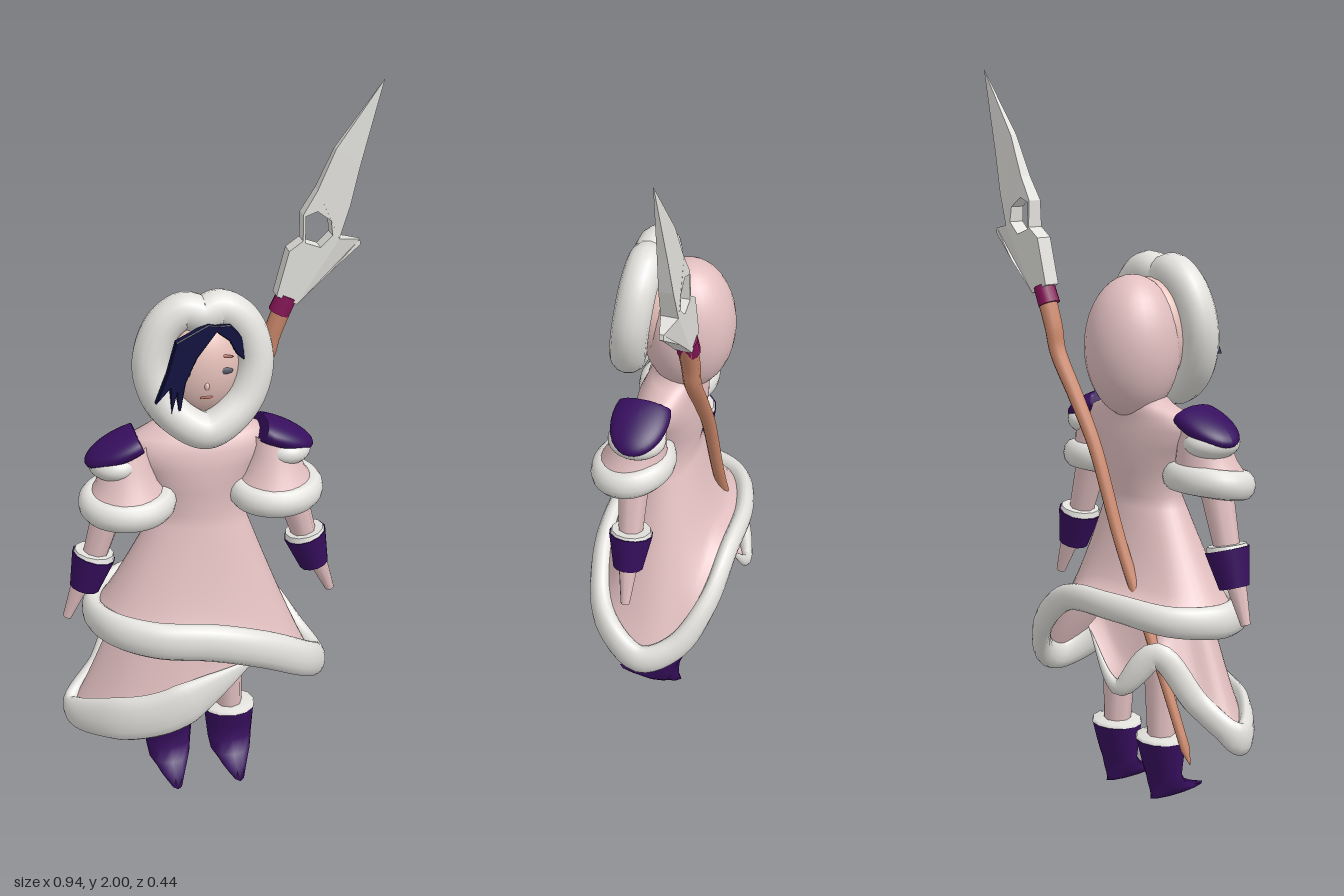
import * as THREE from 'three';

const V = (x, y, z) => new THREE.Vector3(x, y, z);
const C = -0.065; // body axis in x
const TAU = Math.PI * 2;

const mat = (name, color) => {
  const m = new THREE.MeshStandardMaterial({ color, side: THREE.DoubleSide });
  m.name = name;
  return m;
};

// Skin a list of rings (bottom to top, each turning from +x to +z)
function skin(rings, wrap = true, loop = false) {
  const n = rings[0].length, pos = [], idx = [];
  rings.forEach(r => r.forEach(p => pos.push(p.x, p.y, p.z)));
  for (let i = 0; i < rings.length - (loop ? 0 : 1); i++) {
    const i2 = (i + 1) % rings.length;
    for (let j = 0; j < n - (wrap ? 0 : 1); j++) {
      const k = (j + 1) % n;
      idx.push(i * n + j, i2 * n + j, i * n + k, i * n + k, i2 * n + j, i2 * n + k);
    }
  }
  const g = new THREE.BufferGeometry();
  g.setAttribute('position', new THREE.Float32BufferAttribute(pos, 3));
  g.setIndex(idx);
  g.computeVertexNormals();
  return g;
}

// Stack of ellipses, rows are [y, rx, rz, cz, cx]
const loft = (rows, sides) => skin(rows.map(([y, rx, rz, cz = 0, cx = 0]) =>
  Array.from({ length: sides }, (_, j) => V(cx + rx * Math.cos(j / sides * TAU), y, cz + rz * Math.sin(j / sides * TAU)))));

// Elliptic sweep along a curve; size(t) gives [across, along axis]
function sweep(curve, steps, sides, axis, size) {
  const rings = [], loop = !!curve.closed;
  for (let i = 0; i < steps + (loop ? 0 : 1); i++) {
    const t = i / steps, p = curve.getPoint(t), T = curve.getTangent(t);
    const d = T.clone().cross(axis).normalize(), e = d.clone().cross(T), [a, b] = size(t);
    rings.push(Array.from({ length: sides }, (_, j) => p.clone()
      .addScaledVector(d, a * Math.cos(j / sides * TAU)).addScaledVector(e, b * Math.sin(j / sides * TAU))));
  }
  return skin(rings, true, loop);
}

const spline = (pts, closed = false) => new THREE.CatmullRomCurve3(pts.map(p => V(...p)), closed);

export function createModel() {
  const root = new THREE.Group();
  const pink = mat('pink cloth', 0xe2bfc0), white = mat('white fur', 0xe2e1dd), purple = mat('purple leather', 0x370f5e);
  const navy = mat('navy hair', 0x11113f), wood = mat('wood', 0xc98568), wine = mat('wine wrap', 0x851557);
  const steel = mat('pale blade', 0xe0dfdb), face = mat('skin', 0xe6c0b9), lip = mat('lip', 0xb5685a), iris = mat('iris', 0x565c6c);

  const add = (parent, name, geo, m, pos = [0, 0, 0], scale = [1, 1, 1]) => {
    const mesh = new THREE.Mesh(geo, m);
    mesh.name = name;
    mesh.position.set(...pos);
    mesh.scale.set(...scale);
    parent.add(mesh);
    return mesh;
  };
  const ball = (parent, name, m, pos, scale) => add(parent, name, new THREE.SphereGeometry(1, 28, 20), m, pos, scale);
  const limb = (parent, name, m, a, b, ra, rb, sides = 10) => {
    const A = V(...a), D = V(...b).sub(A);
    const mesh = add(parent, name, new THREE.CylinderGeometry(rb, ra, D.length(), sides), m);
    mesh.position.copy(A).addScaledVector(D, 0.5);
    mesh.quaternion.setFromUnitVectors(V(0, 1, 0), D.normalize());
    return mesh;
  };

  // Dress: slanting hem rising to waist, chest, shoulders and neck; the back flares late
  const up = V(0, 1, 0);
  const hem = spline([[0.284, 0.312, 0], [0.225, 0.38, 0.12], [0.09, 0.46, 0.175], [-0.06, 0.51, 0.19], [-0.22, 0.53, 0.175],
    [-0.33, 0.545, 0.11], [-0.372, 0.55, 0], [-0.31, 0.56, -0.12], [-0.15, 0.58, -0.185], [0.03, 0.57, -0.19],
    [0.16, 0.47, -0.168], [0.245, 0.355, -0.1]], true);
  const angle = p => Math.atan2(p.z / 0.2, (p.x - C) / 0.33);
  const onRing = (a, [y, rx, rz, cz = 0]) => V(C + rx * Math.cos(a), y, cz + rz * Math.sin(a));
  const waist = [0.86, 0.122, 0.08, 0.012];
  const flare = (pts, to) => Array.from({ length: 11 }, (_, i) => pts.map(p => {
    const s = i / 10 * to, w = onRing(angle(p), waist);
    const h = s ** 0.87, hz = s ** (p.z < 0 ? 0.87 - 0.42 * Math.min(1, -p.z / 0.15) : 0.75);
    return V(p.x + (w.x - p.x) * h, p.y + (w.y - p.y) * s, p.z + (w.z - p.z) * hz);
  }));
  const hemPts = Array.from({ length: 56 }, (_, j) => hem.getPoint(j / 56));
  const torso = [[0.93, 0.135, 0.088, 0.008], [1.0, 0.17, 0.092, 0.008], [1.05, 0.205, 0.086, 0.006], [1.085, 0.185, 0.076],
    [1.11, 0.12, 0.07, -0.01], [1.14, 0.08, 0.065, -0.02], [1.2, 0.08, 0.07, -0.03]]
    .map(r => hemPts.map(p => onRing(angle(p), r)));
  add(root, 'dress', skin([...flare(hemPts, 1), ...torso]), pink);
  add(root, 'hemTrim', sweep(hem, 72, 14, up, t => {
    const front = Math.sin(t * TAU);
    return [0.03 + 0.004 * front, 0.047 + 0.01 * front];
  }), white);

  // Under skirt: long tail on the right, short flap at the back
  const tail = spline([[0.08, 0.41, 0.13], [-0.05, 0.35, 0.16], [-0.2, 0.285, 0.17], [-0.35, 0.255, 0.12],
    [-0.445, 0.24, 0.01], [-0.355, 0.33, -0.06], [-0.27, 0.46, -0.13], [-0.18, 0.362, -0.19], [-0.04, 0.5, -0.175]]);
  add(root, 'underSkirt', skin(flare(tail.getPoints(48), 0.65), false), pink);
  add(root, 'underSkirtTrim', sweep(tail, 60, 12, up, t => {
    const k = Math.min(1, 0.02 + 5 * Math.min(t, 1 - t));
    return [0.024 * k, (t < 0.35 ? 0.072 : Math.max(0.036, 0.072 - (t - 0.35) * 0.18)) * k];
  }), white);

  // Hood and its fur ring, pointed at the chin
  ball(root, 'hood', pink, [C, 1.265, -0.035], [0.133, 0.195, 0.13]);
  const ring = spline([[0, 1.452, 0.075], [0.05, 1.464, 0.07], [0.11, 1.42, 0.072], [0.142, 1.32, 0.082], [0.114, 1.22, 0.1],
    [0.05, 1.158, 0.12], [0, 1.138, 0.125], [-0.05, 1.158, 0.12], [-0.114, 1.22, 0.1], [-0.142, 1.32, 0.082],
    [-0.11, 1.42, 0.072], [-0.05, 1.464, 0.07]].map(([x, y, z]) => [x + C, y, z]), true);
  add(root, 'hoodFur', sweep(ring, 64, 14, V(0, 0, 1), () => [0.051, 0.051]), white);

  // Face
  ball(root, 'face', face, [C, 1.3, 0.035], [0.118, 0.15, 0.1]);
  ball(root, 'nose', face, [C, 1.268, 0.13], [0.007, 0.012, 0.008]);
  ball(root, 'mouth', lip, [C, 1.233, 0.123], [0.018, 0.005, 0.004]);
  for (const s of [1, -1]) {
    ball(root, 'eye', iris, [C + s * 0.052, 1.305, 0.124], [0.021, 0.009, 0.004]);
    const brow = ball(root, 'brow', lip, [C + s * 0.052, 1.345, 0.118], [0.024, 0.004, 0.004]);
    brow.rotation.z = -s * 0.15;
  }

  // Swept fringe, locks leaning forward to the right
  const lock = (name, pts) => {
    const g = new THREE.ExtrudeGeometry(new THREE.Shape(pts.map(p => new THREE.Vector2(...p))),
      { depth: 0.018, bevelEnabled: true, bevelSize: 0.003, bevelThickness: 0.003, bevelSegments: 1 });
    const P = g.attributes.position;
    for (let i = 0; i < P.count; i++) P.setZ(i, P.getZ(i) + 0.115 - (P.getX(i) - C) * 0.2);
    g.computeVertexNormals();
    add(root, name, g, navy);
  };
  lock('fringe', [[-0.03, 1.43], [-0.06, 1.44], [-0.148, 1.405], [-0.175, 1.315], [-0.206, 1.245], [-0.165, 1.285],
    [-0.165, 1.21], [-0.148, 1.27], [-0.145, 1.19], [-0.127, 1.29], [-0.095, 1.355]]);
  lock('sideLock', [[-0.05, 1.435], [-0.03, 1.415], [0, 1.39], [0.02, 1.35], [0.04, 1.33], [0.035, 1.39], [0, 1.43]]);

  // Shoulder plate: a dome cut straight on the neck side
  const plate = s => {
    const g = new THREE.SphereGeometry(1, 32, 20), P = g.attributes.position;
    for (let i = 0; i < P.count; i++) if (s * P.getX(i) < -0.35) P.setX(i, -0.35 * s);
    g.computeVertexNormals();
    return g;
  };

  // Arms and legs, mirrored about the body axis
  for (const s of [1, -1]) {
    const arm = new THREE.Group();
    arm.name = s > 0 ? 'leftArm' : 'rightArm';
    arm.position.x = C;
    root.add(arm);
    const X = s * 0.208;
    add(arm, 'shoulderPlate', plate(s), purple, [s * 0.21, 1.074, 0.033], [0.118, 0.036, 0.08]).rotation.z = -s * 0.4;
    ball(arm, 'shoulderFur', white, [s * 0.238, 1.025, 0.035], [0.073, 0.046, 0.08]);
    add(arm, 'sleeve', loft([[0.92, 0.12, 0.1, 0.055, X], [0.97, 0.085, 0.082, 0.045, X], [1.02, 0.07, 0.072, 0.035, X],
      [1.07, 0.06, 0.06, 0.03, X]], 24), pink);
    const cuff = spline(Array.from({ length: 12 }, (_, i) => {
      const a = i / 12 * TAU;
      return [X + 0.104 * Math.cos(a), 0.915 - 0.014 * Math.sin(a), 0.055 + 0.085 * Math.sin(a)];
    }), true);
    add(arm, 'sleeveFur', sweep(cuff, 40, 12, up, () => [0.032, 0.04]), white);
    limb(arm, 'forearm', pink, [s * 0.305, 0.73, 0.035], [s * 0.245, 0.93, 0.04], 0.034, 0.047, 8);
    limb(arm, 'wristCuff', purple, [s * 0.332, 0.645, 0.033], [s * 0.303, 0.745, 0.033], 0.042, 0.062, 12);
    limb(arm, 'wristFur', white, [s * 0.304, 0.742, 0.033], [s * 0.301, 0.757, 0.033], 0.06, 0.055, 12);
    limb(arm, 'hand', pink, [s * 0.383, 0.552, 0.026], [s * 0.34, 0.66, 0.03], 0.013, 0.028, 8);

    const leg = new THREE.Group();
    leg.name = s > 0 ? 'leftLeg' : 'rightLeg';
    leg.position.x = C + s * 0.093;
    root.add(leg);
    limb(leg, 'shin', pink, [0, 0.14, -0.01], [-s * 0.015, 0.62, 0], 0.037, 0.058, 8);
    add(leg, 'boot', loft([[0, 0.002, 0.002, 0.04], [0, 0.026, 0.1, 0.05], [0.012, 0.042, 0.076, 0.034], [0.035, 0.06, 0.052, 0.012],
      [0.07, 0.066, 0.04, -0.004], [0.12, 0.071, 0.055, -0.008], [0.172, 0.076, 0.068, -0.01]], 12), purple);
    add(leg, 'bootFur', loft([[0.17, 0.077, 0.069, -0.01], [0.18, 0.074, 0.065, -0.01], [0.182, 0.03, 0.03, -0.01]], 12), white);
  }

  // Spear carried across the back
  const Z = -0.115;
  const shaft = spline([[-0.385, 0.18, Z], [-0.26, 0.44, Z], [-0.11, 0.73, Z], [0.0, 0.99, Z], [0.08, 1.12, Z],
    [0.155, 1.235, Z], [0.172, 1.3, Z], [0.21, 1.4, Z]]);
  add(root, 'spearShaft', sweep(shaft, 48, 10, V(0, 0, 1), t => {
    const r = t === 0 ? 0.001 : 0.013 + 0.015 * t;
    return [r, r];
  }), wood);
  limb(root, 'spearWrap', wine, [0.19, 1.362, Z], [0.213, 1.412, Z], 0.031, 0.03, 12);

  // Blade with a barb and a hole, thinning to the tip
  const outline = pts => pts.map(p => new THREE.Vector2(...p));
  const blade = new THREE.Shape(outline([[0.178, 1.418], [0.236, 1.39], [0.328, 1.476], [0.418, 1.545], [0.415, 1.56], [0.352, 1.571],
    [0.381, 1.66], [0.407, 1.767], [0.471, 2], [0.34, 1.82], [0.29, 1.71], [0.25, 1.645], [0.25, 1.572], [0.212, 1.545]]));
  blade.holes.push(new THREE.Path(outline([[0.257, 1.64], [0.29, 1.652], [0.328, 1.624], [0.333, 1.582], [0.3, 1.55], [0.257, 1.566]])));
  const bg = new THREE.ExtrudeGeometry(blade, { depth: 0.046, bevelEnabled: false });
  const P = bg.attributes.position;
  for (let i = 0; i < P.count; i++) {
    const barb = P.getX(i) > 0.4 && P.getY(i) < 1.6 ? 0.25 : 1;
    P.setZ(i, Z + (P.getZ(i) - 0.023) * barb * Math.min(1, (2.01 - P.getY(i)) / 0.42));
  }
  bg.computeVertexNormals();
  add(root, 'spearBlade', bg, steel);
  return root;
}
